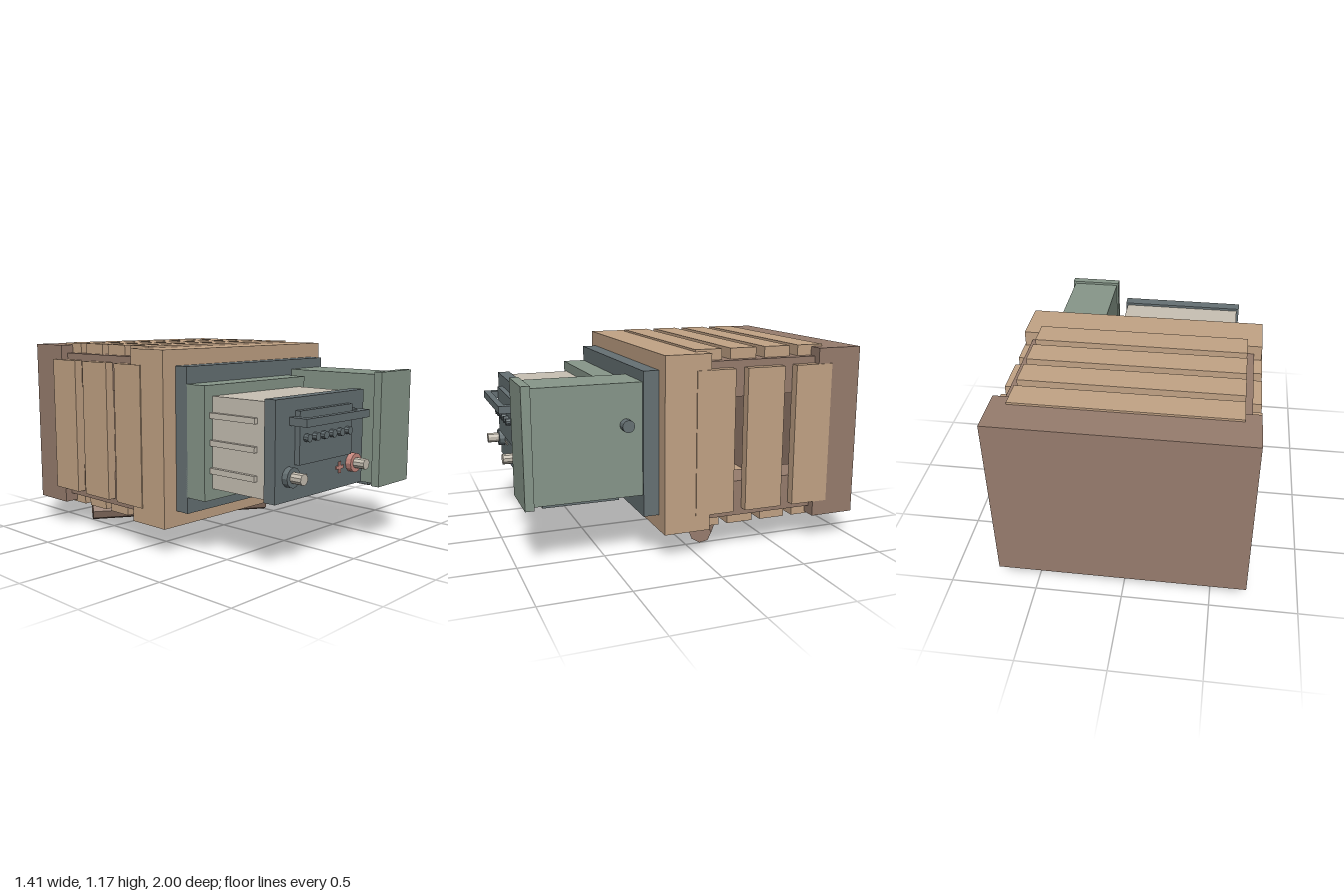
import * as THREE from 'three';

const mat = (name, color) => Object.assign(new THREE.MeshStandardMaterial({ color, flatShading: true }), { name });

export function createModel() {
  const wood = mat('light wood', 0xc2a385);
  const brown = mat('brown wood', 0x977c6d);
  const slate = mat('slate', 0x667174);
  const green = mat('sage green', 0x87978a);
  const cream = mat('cream', 0xc8c1b4);
  const pink = mat('dusty red', 0xc98a80);
  const mustard = mat('label yellow', 0xb5a673);

  const model = new THREE.Group();
  const group = (name) => {
    const g = new THREE.Group();
    g.name = name;
    model.add(g);
    return g;
  };
  // box given by its limits on each axis
  const box = (parent, name, m, x0, x1, y0, y1, z0, z1) => {
    const mesh = new THREE.Mesh(new THREE.BoxGeometry(x1 - x0, y1 - y0, z1 - z0), m);
    mesh.position.set((x0 + x1) / 2, (y0 + y1) / 2, (z0 + z1) / 2);
    mesh.name = name;
    parent.add(mesh);
    return mesh;
  };
  // cylinder pointing forwards from z0 to z1
  const peg = (parent, name, m, x, y, z0, z1, r, sides) => {
    const geo = new THREE.CylinderGeometry(r, r, z1 - z0, sides).rotateX(Math.PI / 2);
    const mesh = new THREE.Mesh(geo, m);
    mesh.position.set(x, y, (z0 + z1) / 2);
    mesh.name = name;
    parent.add(mesh);
    return mesh;
  };

  // crate: solid end caps joined by four corner rails and slats
  const crate = group('crate');
  box(crate, 'frontCap', wood, -0.7, 0.7, 0.155, 1.155, -0.06, 0.21);
  box(crate, 'backCap', brown, -0.7, 0.7, 0.155, 1.155, -1, -0.73);
  for (const x of [-0.655, 0.44])
    for (const y of [0.205, 0.9])
      box(crate, 'cornerRail', brown, x, x + 0.215, y, y + 0.205, -0.74, -0.05);
  for (let i = 0; i < 4; i++) {
    const z = -0.8 + i * 0.2133;
    box(crate, 'topSlat', wood, -0.615, 0.61, 1.105, 1.167, z, z + 0.16);
    box(crate, 'bottomSlat', wood, -0.615, 0.61, 0.143, 0.205, z, z + 0.16);
  }
  for (let i = 0; i < 3; i++) {
    const z = -0.815 + i * 0.305;
    box(crate, 'leftSlat', wood, 0.65, 0.706, 0.245, 1.065, z, z + 0.23);
    box(crate, 'rightSlat', wood, -0.706, -0.65, 0.245, 1.065, z, z + 0.23);
  }

  // eight-sided log lying askew under the crate
  const from = new THREE.Vector3(-0.5, 0.0675, -0.725);
  const to = new THREE.Vector3(0.5, 0.0675, -0.09);
  const log = new THREE.Mesh(
    new THREE.CylinderGeometry(0.0675, 0.0675, from.distanceTo(to), 8).rotateX(Math.PI / 2), brown);
  log.position.lerpVectors(from, to, 0.5);
  log.lookAt(to);
  log.name = 'log';
  model.add(log);

  // mounting panel and battery bracket
  const mount = group('mount');
  box(mount, 'mountPanel', slate, -0.607, 0.607, 0.245, 1.065, 0.2, 0.3);
  box(mount, 'batteryFlange', green, -0.607, 0.257, 0.337, 0.97, 0.29, 0.435);

  // battery body with side ribs
  const battery = group('battery');
  box(battery, 'batteryBody', cream, -0.545, 0.207, 0.4, 0.91, 0.43, 0.82);
  for (const y of [0.487, 0.64, 0.79]) {
    box(battery, 'rightRib', cream, -0.567, -0.54, y, y + 0.032, 0.43, 0.755);
    box(battery, 'leftRib', cream, 0.2, 0.227, y, y + 0.032, 0.43, 0.755);
  }
  box(battery, 'batteryFace', slate, -0.56, 0.22, 0.388, 0.925, 0.815, 0.888);

  // label below the battery
  box(battery, 'label', mustard, -0.47, 0.13, 0.392, 0.401, 0.49, 0.68);
  box(battery, 'labelBand', pink, -0.47, 0.13, 0.379, 0.401, 0.68, 0.74);
  box(battery, 'labelStripe', slate, -0.33, 0, 0.388, 0.396, 0.57, 0.61);

  // cap strip with six filler caps, and carrying handle
  box(battery, 'capStrip', slate, -0.402, 0.065, 0.575, 0.858, 0.88, 0.92);
  for (let i = 0; i < 6; i++)
    peg(battery, 'fillerCap', slate, -0.35 + i * 0.0727, 0.715, 0.91, 0.947, 0.022, 10);
  box(battery, 'handleBar', slate, -0.448, 0.113, 0.785, 0.828, 0.963, 1);
  for (const x of [-0.448, 0.065])
    box(battery, 'handleArm', slate, x, x + 0.048, 0.785, 0.828, 0.88, 0.97);

  // terminals and their signs
  for (const [x, m] of [[-0.45, slate], [0.113, pink]]) {
    peg(battery, 'terminalBase', m, x, 0.518, 0.88, 0.922, 0.055, 12);
    peg(battery, 'terminalPost', cream, x, 0.518, 0.9, 0.99, 0.031, 10);
  }
  box(battery, 'minusSign', cream, -0.37, -0.302, 0.496, 0.511, 0.886, 0.894);
  box(battery, 'plusSignBar', pink, -0.035, 0.03, 0.495, 0.514, 0.886, 0.894);
  box(battery, 'plusSignPost', pink, -0.012, 0.007, 0.472, 0.537, 0.886, 0.8945);

  // tall control module with side knob
  const control = group('controlModule');
  box(control, 'moduleBody', green, 0.3, 0.592, 0.367, 1.005, 0.29, 0.92);
  box(control, 'moduleFace', green, 0.29, 0.607, 0.352, 1.02, 0.912, 0.962);
  const knob = peg(control, 'sideKnob', slate, 0, 0.775, -0.03, 0.03, 0.035, 12);
  knob.position.set(0.612, 0.775, 0.395);
  knob.rotation.y = Math.PI / 2;

  // connector plate, sockets and vents under the module
  box(control, 'connectorPlate', slate, 0.335, 0.56, 0.345, 0.37, 0.43, 0.86);
  for (const [z, m] of [[0.785, cream], [0.6, pink]]) {
    box(control, 'socket', slate, 0.385, 0.515, 0.332, 0.35, z - 0.055, z + 0.055);
    box(control, 'socketPin', m, 0.41, 0.49, 0.324, 0.34, z - 0.033, z + 0.033);
  }
  for (let i = 0; i < 4; i++)
    box(control, 'vent', slate, 0.385, 0.515, 0.338, 0.35, 0.44 + i * 0.027, 0.454 + i * 0.027);

  return model;
}
